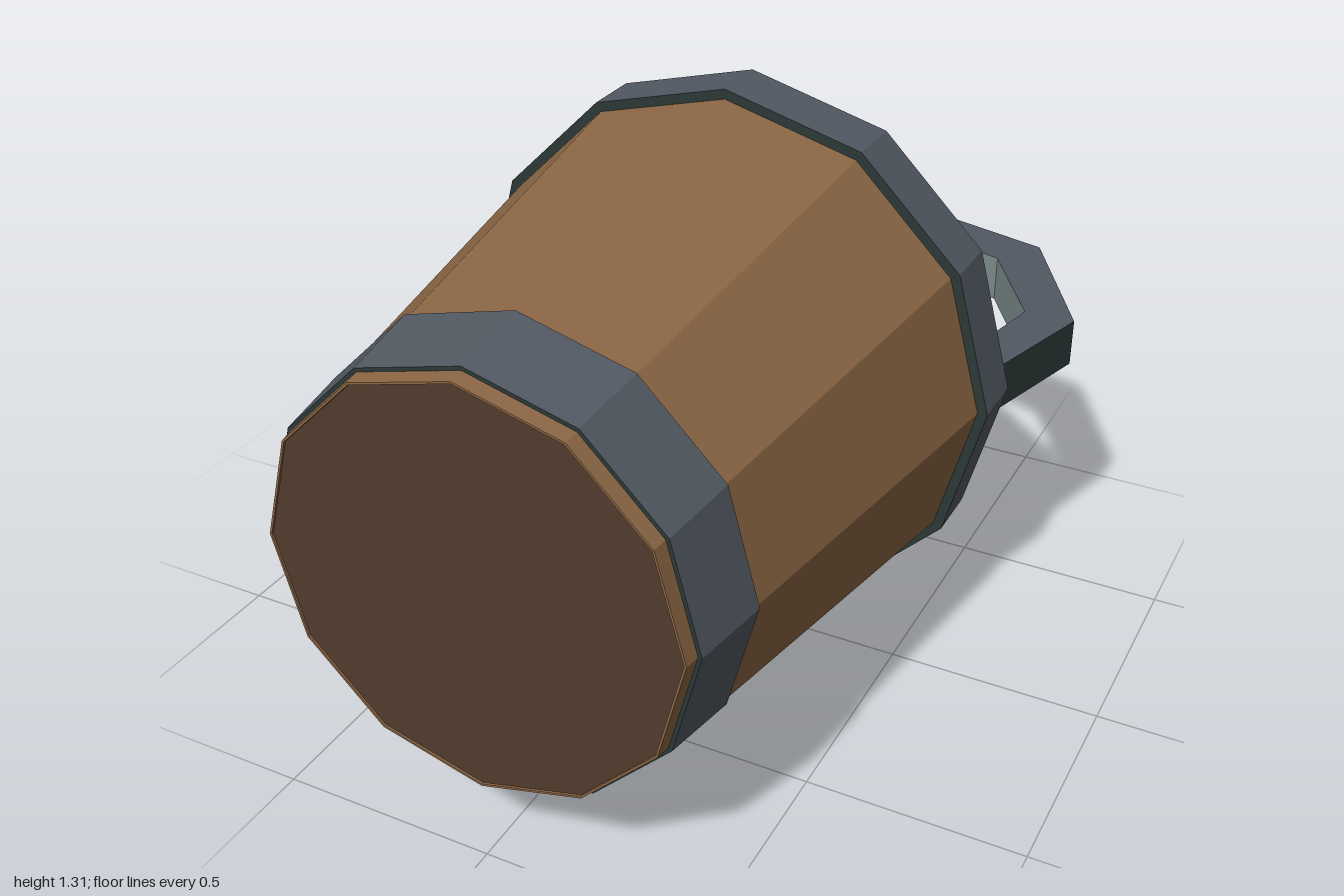
import * as THREE from 'three';

const SIDES = 12;
const CENTRE_Y = 0.655;

function material(name, color) {
  const m = new THREE.MeshStandardMaterial({ color });
  m.name = name;
  return m;
}

// Faceted surface of revolution about the z axis; profile is [radius, z] pairs.
// Increasing z faces outward, shrinking radius faces +z.
function turned(name, profile, mat) {
  const points = profile.map(([r, z]) => new THREE.Vector2(r, z));
  const geo = new THREE.LatheGeometry(points, SIDES).toNonIndexed();
  geo.rotateX(Math.PI / 2);
  geo.computeVertexNormals();
  const mesh = new THREE.Mesh(geo, mat);
  mesh.name = name;
  mesh.position.y = CENTRE_Y;
  return mesh;
}

// Mirrors a half outline, which starts on the centre line, to a closed one
function mirrored(half) {
  const left = half.slice(1).reverse().map(([x, z]) => [-x, z]);
  return [...half, ...left].map(([x, z]) => new THREE.Vector2(x, -z));
}

export function createModel() {
  const wood = material('wood', 0x8b6644);
  const darkWood = material('dark wood', 0x523b2e);
  const metal = material('blue grey metal', 0x515962);
  const paleMetal = material('pale metal', 0x7b8a8a);
  const darkMetal = material('dark metal', 0x2a3736);
  const water = material('water', 0x3095b2);

  const model = new THREE.Group();
  model.name = 'bucket';

  // Tapered staves, their inside and the base
  model.add(
    turned('staves', [[0.648, -0.2], [0.47, 1], [0.465, 1], [0.464, 0.995]], wood),
    turned('base', [[0.466, 0.996], [0, 0.996]], darkWood),
    turned('innerWall', [[0.565, 0.07], [0.59, -0.2]], darkWood),
    turned('waterSurface', [[0, 0.06], [0.568, 0.06]], water)
  );

  // Hoop around the open end
  const rim = new THREE.Group();
  rim.name = 'rimHoop';
  rim.add(
    turned('rimOuter', [[0.655, -0.23], [0.655, -0.09]], metal),
    turned('rimFace', [[0.555, -0.23], [0.655, -0.23]], paleMetal),
    turned('rimFront', [[0.655, -0.09], [0.625, -0.09]], darkMetal),
    turned('rimInner', [[0.59, -0.2], [0.555, -0.2], [0.555, -0.23]], darkMetal)
  );
  model.add(rim);

  // Hoop near the base
  const band = new THREE.Group();
  band.name = 'baseHoop';
  band.add(
    turned('bandOuter', [[0.511, 0.78], [0.484, 0.965]], metal),
    turned('bandBack', [[0.498, 0.78], [0.511, 0.78]], paleMetal),
    turned('bandFront', [[0.484, 0.965], [0.47, 0.965]], darkMetal)
  );
  model.add(band);

  // Closed handle loop with a straight bar across the inside
  const outer = mirrored([[0, -1], [0.52, -0.86], [0.72, -0.505], [0.573, 0]]);
  const inner = mirrored([[0, -0.885], [0.445, -0.75], [0.6, -0.5], [0.515, -0.11]]);
  const shape = new THREE.Shape(outer);
  shape.holes.push(new THREE.Path(inner.reverse()));
  const geo = new THREE.ExtrudeGeometry(shape, { depth: 0.114, bevelEnabled: false });
  geo.rotateX(-Math.PI / 2);
  // Flat faces, outer walls and inner walls each take their own metal
  const walls = geo.groups[1].start;
  const outerCount = outer.length * 6;
  geo.clearGroups();
  geo.addGroup(0, walls, 0);
  geo.addGroup(walls, outerCount, 1);
  geo.addGroup(walls + outerCount, inner.length * 6, 2);
  const handle = new THREE.Mesh(geo, [metal, darkMetal, paleMetal]);
  handle.name = 'handle';
  handle.position.y = 0.6;
  model.add(handle);

  return model;
}
